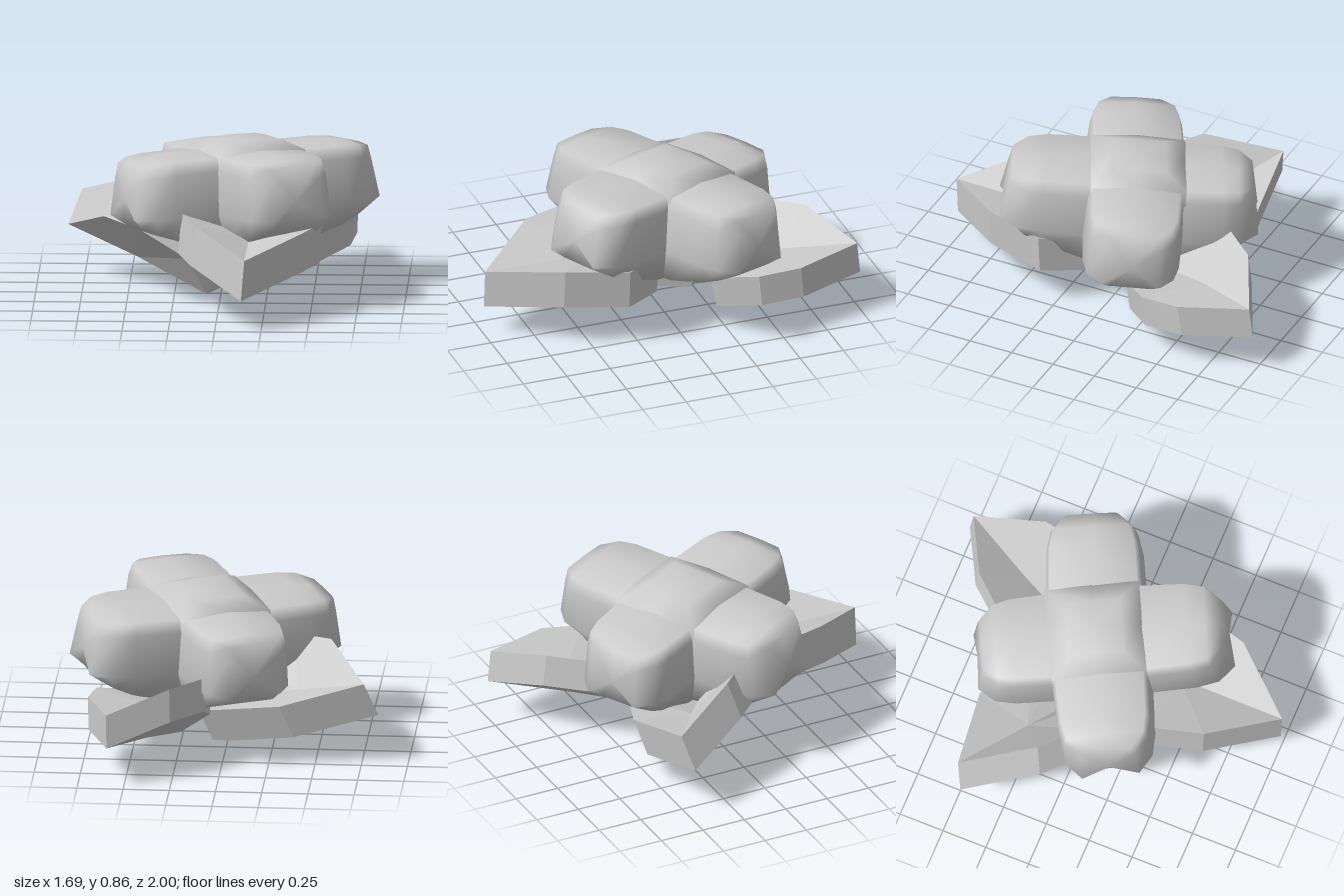
import * as THREE from 'three';

const makeMaterial = (flatShading) => new THREE.MeshStandardMaterial({ color: 0xcccccc, flatShading });

function buildGeometry(points, index) {
  const geometry = new THREE.BufferGeometry();
  geometry.setAttribute('position', new THREE.Float32BufferAttribute(points.flat(), 3));
  geometry.setIndex(index);
  return geometry;
}

// Plump petal pointing along +x, lofted from rounded sections
function petalGeometry(length) {
  // distance out, half width, top edge, top ridge, bottom, slant of the end
  const stations = [
    [0.0, 0.25, 0.77, 0.79, 0.25, 0],
    [0.25, 0.27, 0.785, 0.805, 0.28, 0],
    [0.5, 0.26, 0.785, 0.803, 0.35, 0.01],
    [0.61, 0.235, 0.778, 0.787, 0.39, 0.02],
    [0.695, 0.155, 0.76, 0.765, 0.43, 0.025],
  ];
  const points = [];
  const index = [];
  const n = 9;
  for (const [distance, w, top, ridge, bottom, slant] of stations) {
    const u = distance * length;
    points.push(
      [u + slant, 0.48, w],
      [u - slant * 0.5, top - 0.07, w * 0.96],
      [u - slant, top, w * 0.88],
      [u - slant, ridge, 0],
      [u - slant, top, -w * 0.88],
      [u - slant * 0.5, top - 0.07, -w * 0.96],
      [u + slant, 0.48, -w],
      [u - slant * 1.5, bottom, -w * 0.72],
      [u - slant * 1.5, bottom, w * 0.72],
    );
  }
  const last = (stations.length - 1) * n;
  for (let r = 0; r < last; r += n) {
    for (let i = 0; i < n; i++) {
      const j = (i + 1) % n;
      index.push(r + i, r + n + j, r + j, r + i, r + n + i, r + n + j);
    }
  }
  // closed end
  points.push([0.705 * length, 0.58, 0]);
  for (let i = 0; i < n; i++) index.push(points.length - 1, last + (i + 1) % n, last + i);
  const geometry = buildGeometry(points, index);
  geometry.computeVertexNormals();
  return geometry;
}

// Low square mound where the petals meet: a crown, a shoulder ring and a rim sunk into the petals
function centreGeometry() {
  const rings = [[0.15, 0.848, 0.842], [0.258, 0.803, 0.785], [0.26, 0.7, 0.7]];
  const points = [[0, 0.852, 0]];
  const index = [];
  rings.forEach(([h, side, corner], r) => {
    for (let k = 0; k < 8; k++) {
      const x = Math.round(Math.cos((k * Math.PI) / 4));
      const z = -Math.round(Math.sin((k * Math.PI) / 4));
      points.push([x * h, k % 2 ? corner : side, z * h]);
      const a = r * 8 + k + 1;
      const b = r * 8 + ((k + 1) % 8) + 1;
      if (r === 0) index.push(0, a, b);
      else index.push(a - 8, a, b, a - 8, b, b - 8);
    }
  });
  const geometry = buildGeometry(points, index);
  geometry.computeVertexNormals();
  return geometry;
}

// Thick folded leaf: an outline around a low middle point, extruded along a drop vector
function leafGeometry(outline, middle, drop) {
  const top = [...outline, middle];
  const points = [...top, ...top.map((p) => p.map((value, k) => value + drop[k]))];
  const n = outline.length;
  const low = n + 1;
  const index = [];
  for (let i = 0; i < n; i++) {
    const j = (i + 1) % n;
    index.push(n, i, j, n + low, j + low, i + low);
    index.push(i, i + low, j + low, i, j + low, j);
  }
  const geometry = buildGeometry(points, index).toNonIndexed();
  geometry.computeVertexNormals();
  return geometry;
}

export function createModel() {
  const model = new THREE.Group();
  model.name = 'flower';

  // Four crossed petals around a raised centre, slightly tilted
  const blossom = new THREE.Group();
  blossom.name = 'blossom';
  blossom.position.set(0.145, 0, -0.02);
  blossom.rotation.set(-0.064, 0, 0.043);
  const smooth = makeMaterial(false);
  // length and turn of the right-hand, back, left-hand and front petals
  [[1.01, -0.045], [0.93, 0], [1.01, 0], [1.01, -0.03]].forEach(([length, turn], k) => {
    const petal = new THREE.Mesh(petalGeometry(length), smooth);
    petal.name = 'petal';
    petal.rotation.y = 0.473 + turn + (k * Math.PI) / 2;
    blossom.add(petal);
  });
  const centre = new THREE.Mesh(centreGeometry(), smooth);
  centre.name = 'centre';
  centre.rotation.y = 0.473;
  blossom.add(centre);
  model.add(blossom);

  // Three leaves; outlines run from the base around one side, the tip and the other side
  const leaves = [
    {
      name: 'frontLeaf',
      outline: [[0.145, 0.315, 0.06], [0, 0.42, 0.13], [-0.2, 0.52, 0.38], [-0.12, 0.51, 0.66],
        [0.16, 0.39, 1], [0.46, 0.47, 0.65], [0.555, 0.455, 0.31], [0.36, 0.41, 0.08], [0.21, 0.355, 0.02]],
      middle: [0.165, 0.385, 0.4],
      drop: [-0.018, -0.222, 0],
    },
    {
      name: 'rightLeaf',
      outline: [[0, 0.187, -0.02], [0.15, 0.215, -0.26], [0.05, 0.27, -0.43], [-0.31, 0.345, -0.57],
        [-0.765, 0.465, -0.51], [-0.56, 0.59, -0.13], [-0.36, 0.555, 0.05], [-0.105, 0.4, 0.07]],
      middle: [-0.38, 0.34, -0.26],
      drop: [-0.075, -0.187, 0.045],
    },
    {
      name: 'backLeaf',
      outline: [[0.25, 0.27, -0.26], [0.5, 0.3, -0.19], [0.69, 0.365, -0.38], [0.72, 0.39, -0.61],
        [0.595, 0.41, -0.98], [0.265, 0.51, -0.81], [0.1, 0.51, -0.62], [0.08, 0.42, -0.39]],
      middle: [0.4, 0.35, -0.6],
      drop: [-0.005, -0.18, -0.02],
    },
  ];
  const faceted = makeMaterial(true);
  for (const { name, outline, middle, drop } of leaves) {
    const leaf = new THREE.Mesh(leafGeometry(outline, middle, drop), faceted);
    leaf.name = name;
    model.add(leaf);
  }
  return model;
}
